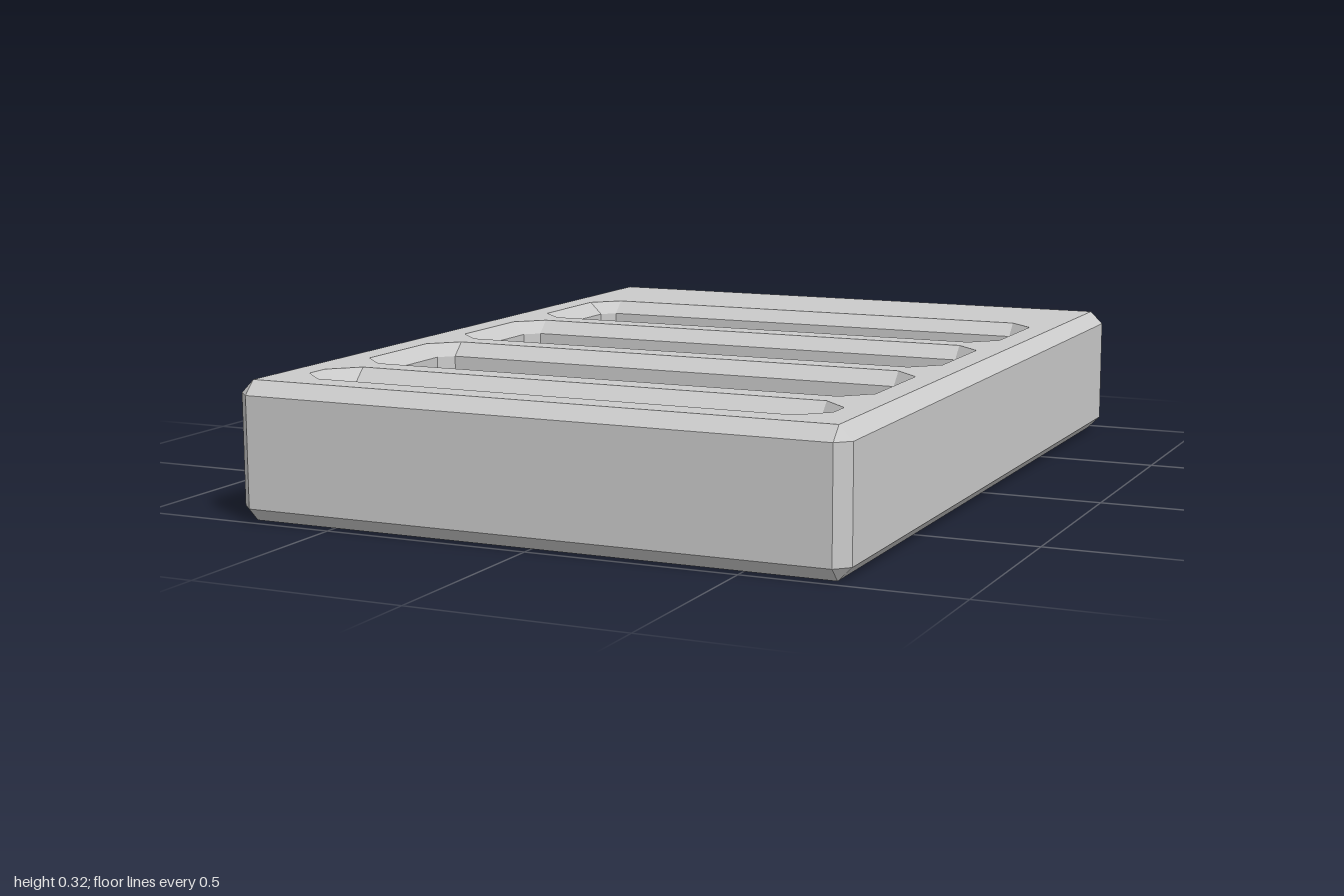
import * as THREE from 'three';

const W = 0.74, D = 1, H = 0.325; // half width, half depth, height of the block
const C = 0.032;                  // chamfer size
const FLOOR = 0.065;              // height of the pocket floors
const PW = 0.645;                 // half width of a pocket at its rim
const POCKETS = [[-0.65, -0.26], [-0.195, 0.19], [0.255, 0.645], [0.71, 0.9]]; // back and front z

// Rectangle with cut corners, as [x, z] pairs
function outline(w, d, cut) {
  return [
    [w, d - cut], [w - cut, d], [cut - w, d], [-w, d - cut],
    [-w, cut - d], [cut - w, -d], [w - cut, -d], [w, cut - d],
  ];
}

// Flat-shaded skin through rings of [half width, half depth, corner cut, y]
function loft(rings) {
  const loops = rings.map(([w, d, cut, y]) => outline(w, d, cut).map(([x, z]) => new THREE.Vector3(x, y, z)));
  const points = [];
  const tri = (a, b, c) => {
    const area = b.clone().sub(a).cross(c.clone().sub(a)).length();
    if (area > 1e-8) points.push(a, b, c); // skip collapsed corners
  };
  for (let r = 0; r + 1 < loops.length; r++) {
    const a = loops[r], b = loops[r + 1];
    for (let i = 0; i < 8; i++) {
      const j = (i + 1) % 8;
      tri(a[i], b[i], a[j]);
      tri(a[j], b[i], b[j]);
    }
  }
  const geometry = new THREE.BufferGeometry().setFromPoints(points);
  geometry.computeVertexNormals();
  return geometry;
}

export function createModel() {
  const group = new THREE.Group();
  const material = new THREE.MeshStandardMaterial({ color: 0xcccccc, flatShading: true });
  const add = (name, geometry) => {
    const mesh = new THREE.Mesh(geometry, material);
    mesh.name = name;
    group.add(mesh);
    return mesh;
  };

  // Underside, chamfered sides and corners
  add('trayBody', loft([
    [0, 0, 0, 0],
    [W - C, D - C, 0, 0],
    [W, D, C, C],
    [W, D, C, H - C],
    [W - C, D - C, 0, H],
  ]));

  // Top face with an opening for each pocket
  const top = new THREE.Shape(outline(W - C, D - C, 0).map(([x, z]) => new THREE.Vector2(x, -z)));

  POCKETS.forEach(([back, front], i) => {
    const mid = (back + front) / 2, d = (front - back) / 2;
    top.holes.push(new THREE.Path(outline(PW, d, 2 * C).map(([x, z]) => new THREE.Vector2(x, -(z + mid)))));

    // Bevelled rim, upright walls, bevelled foot and floor
    add('pocket' + (i + 1), loft([
      [PW, d, 2 * C, H],
      [PW - C, d - C, C, H - C],
      [PW - C, d - C, C, FLOOR + C],
      [PW - 2 * C, d - 2 * C, 0, FLOOR],
      [0, 0, 0, FLOOR],
    ])).position.z = mid;
  });

  add('topFace', new THREE.ShapeGeometry(top).rotateX(-Math.PI / 2).translate(0, H, 0));
  return group;
}
